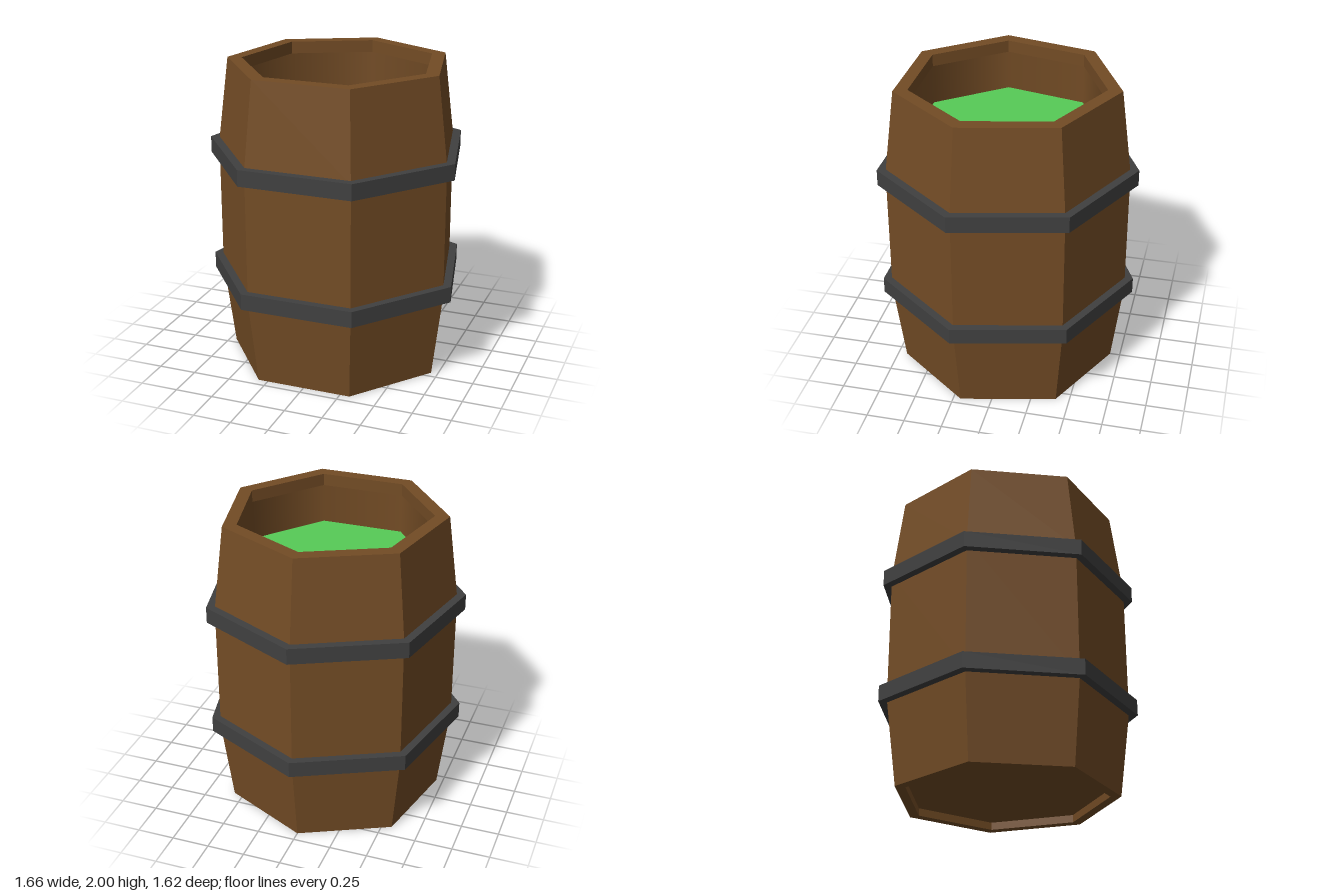
import * as THREE from 'three';

const SIDES = 7;
const wood = new THREE.MeshStandardMaterial({ color: 0x734c25, flatShading: true });
const smoothWood = new THREE.MeshStandardMaterial({ color: 0x734c25 });
const iron = new THREE.MeshStandardMaterial({ color: 0x404040, flatShading: true });
const green = new THREE.MeshStandardMaterial({ color: 0x56cb56, flatShading: true });

// Seven-sided turned part with one corner pointing to the back
function turned(name, profile, material) {
  const points = profile.map(([r, y]) => new THREE.Vector2(r, y));
  const mesh = new THREE.Mesh(new THREE.LatheGeometry(points, SIDES, Math.PI), material);
  mesh.name = name;
  return mesh;
}

export function createModel() {
  const barrel = new THREE.Group();
  barrel.name = 'barrel';
  barrel.position.z = 0.04; // centres the odd-sided outline

  // Recessed base, bulging staves, rim and inner lip
  barrel.add(turned('staves', [
    [0, 0.05], [0.655, 0.05], [0.655, 0], [0.723, 0],
    [0.795, 0.56], [0.795, 1.44],
    [0.723, 2], [0.63, 2], [0.63, 1.92],
  ], wood));

  // Softly shaded wall below the lip
  barrel.add(turned('innerWall', [[0.63, 1.92], [0.63, 1.64]], smoothWood));

  // Liquid surface
  barrel.add(turned('liquid', [[0.63, 1.66], [0, 1.66]], green));

  // Iron hoops
  for (const [name, y] of [['lowerHoop', 0.593], ['upperHoop', 1.412]]) {
    const h = 0.053;
    barrel.add(turned(name, [
      [0.78, y - h], [0.85, y - h], [0.85, y + h], [0.78, y + h], [0.78, y - h],
    ], iron));
  }

  const model = new THREE.Group();
  model.add(barrel);
  return model;
}
